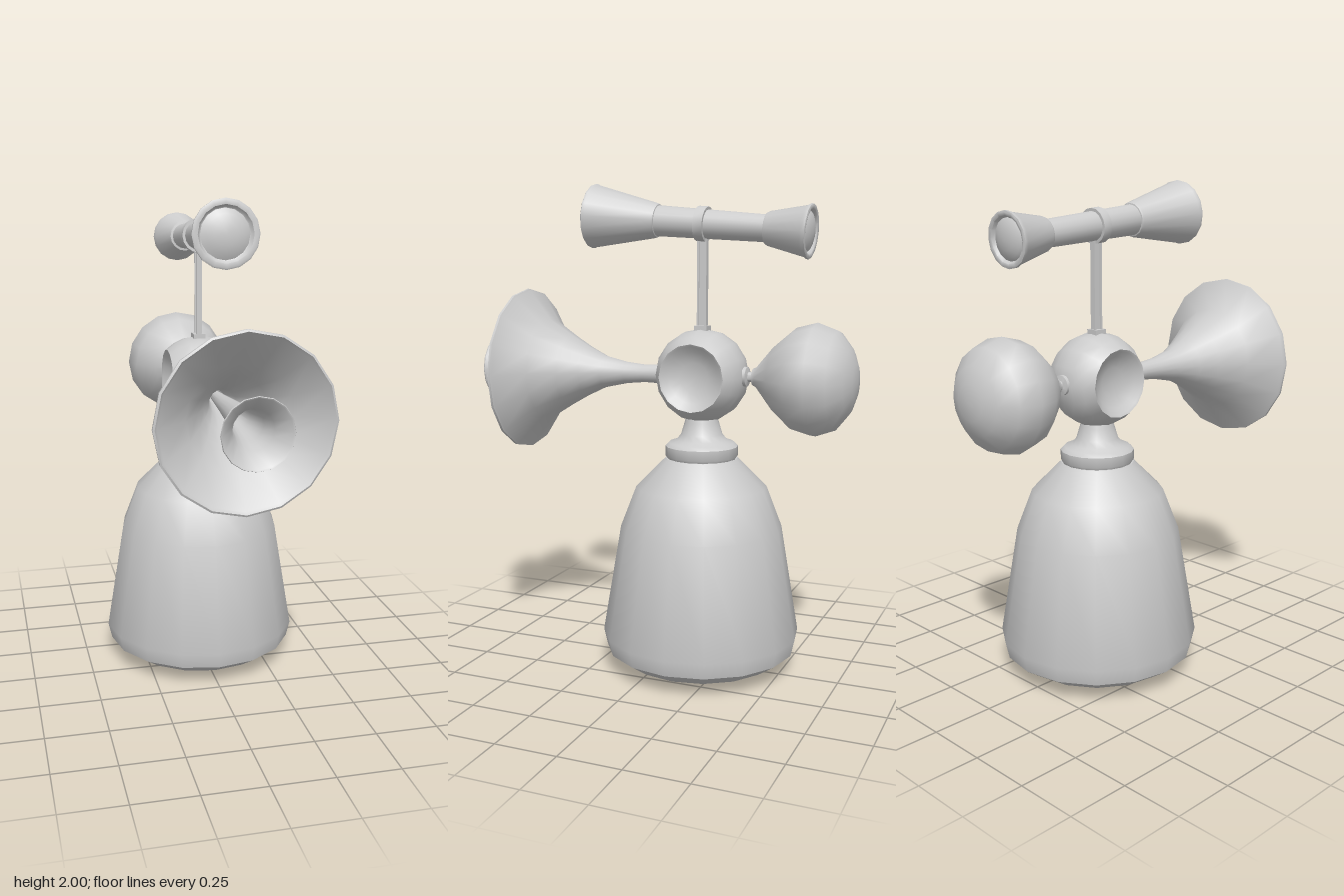
import * as THREE from 'three';
import { toCreasedNormals } from 'three/addons/utils/BufferGeometryUtils.js';

const AXIS_Z = -0.155; // vertical axis of stand and hub
const HUB_Y = 1.23;

const material = new THREE.MeshStandardMaterial({ color: 0xcccccc });
const openMaterial = new THREE.MeshStandardMaterial({ color: 0xcccccc, side: THREE.DoubleSide });

// Revolve [radius, position] pairs about y, then lay the axis along x or z if asked
function turned(name, profile, axis = 'y', mat = material, crease = 0.75) {
  const points = profile.map(([r, h]) => new THREE.Vector2(r, h));
  let geometry = new THREE.LatheGeometry(points, 16);
  if (axis === 'z') geometry.rotateX(Math.PI / 2);
  if (axis === 'x') geometry.rotateZ(-Math.PI / 2);
  geometry = toCreasedNormals(geometry, crease);
  const mesh = new THREE.Mesh(geometry, mat);
  mesh.name = name;
  return mesh;
}

function block(name, w, h, d, x, y, z) {
  const mesh = new THREE.Mesh(new THREE.BoxGeometry(w, h, d), material);
  mesh.name = name;
  mesh.position.set(x, y, z);
  return mesh;
}

export function createModel() {
  const model = new THREE.Group();
  model.name = 'hornStand';

  // Weighted bell-shaped base
  const base = turned('base', [
    [0, 0], [0.2, 0.005], [0.32, 0.035], [0.395, 0.085], [0.41, 0.15],
    [0.335, 0.6], [0.27, 0.77], [0.15, 0.89], [0, 0.89],
  ]);
  base.position.z = AXIS_Z;

  // Collar and flared neck
  const neck = turned('neck', [
    [0.14, 0.885], [0.15, 0.9], [0.15, 0.94], [0.135, 0.955],
    [0.105, 0.965], [0.085, 0.99], [0.07, 1.04], [0.06, 1.08],
  ]);
  neck.position.z = AXIS_Z;

  // Round hub with a shallow dish on each side
  const half = [[0, 0.085], [0.06, 0.09], [0.105, 0.108], [0.128, 0.128], [0.137, 0.133], [0.165, 0.095], [0.185, 0.05]];
  const hub = turned('hub', [
    ...half.map(([r, h]) => [r, -h]), [0.191, 0], ...half.slice().reverse(),
  ], 'x');
  hub.position.set(0, HUB_Y, AXIS_Z);

  // Large front horn: outer skin, rolled lip, inner skin
  const horn = turned('horn', [
    [0.04, -0.01], [0.037, 0.1], [0.045, 0.18], [0.067, 0.28], [0.105, 0.36],
    [0.15, 0.44], [0.215, 0.545], [0.335, 0.637], [0.343, 0.642], [0.343, 0.652],
    [0.335, 0.656], [0.325, 0.645], [0.205, 0.555], [0.14, 0.45], [0.095, 0.365],
    [0.055, 0.28], [0.03, 0.17],
  ], 'z', openMaterial);
  horn.position.y = HUB_Y - 0.002;

  // Narrow trumpet nested in the horn
  const trumpet = turned('innerTrumpet', [
    [0.022, 0.17], [0.035, 0.35], [0.05, 0.53], [0.068, 0.655], [0.085, 0.73],
    [0.135, 0.795], [0.133, 0.8], [0.127, 0.797], [0.077, 0.732], [0.06, 0.655],
    [0.042, 0.53], [0.025, 0.35], [0.01, 0.25], [0, 0.25],
  ], 'z', openMaterial);
  trumpet.position.y = HUB_Y;

  // Rear bulb on a short stem
  const bulb = turned('bulb', [
    [0, -0.797], [0.07, -0.79], [0.13, -0.767], [0.195, -0.715], [0.224, -0.635],
    [0.202, -0.55], [0.13, -0.465], [0.04, -0.388], [0.035, -0.375],
    [0.02, -0.37], [0.02, -0.355], [0.04, -0.35], [0.04, -0.32],
  ], 'z');
  bulb.position.y = HUB_Y + 0.003;

  // Thin ribbed post rising from the hub
  const post = new THREE.Group();
  post.name = 'post';
  post.add(block('web', 0.012, 0.4, 0.034, 0, 1.6, AXIS_Z));
  for (const s of [-1, 1]) {
    post.add(block('flange', 0.024, 0.4, 0.008, 0, 1.6, AXIS_Z + s * 0.016));
  }
  post.add(block('postFoot', 0.05, 0.03, 0.055, 0, 1.418, AXIS_Z));

  // Tilted spyglass, pivoting at the top of the post
  const spyglass = new THREE.Group();
  spyglass.name = 'spyglass';
  spyglass.add(
    turned('tube', [[0.053, -0.29], [0.062, 0.2]], 'z', openMaterial),
    turned('frontBell', [
      [0.055, 0.19], [0.067, 0.193], [0.07, 0.2], [0.127, 0.468], [0.131, 0.474],
      [0.131, 0.482], [0.125, 0.486], [0.108, 0.484], [0.1, 0.47],
      [0.096, 0.468], [0.075, 0.48], [0.045, 0.489], [0, 0.494],
    ], 'z'),
    turned('rearCup', [
      [0, -0.457], [0.04, -0.452], [0.068, -0.443], [0.08, -0.434], [0.088, -0.446],
      [0.1, -0.449], [0.106, -0.446], [0.106, -0.436], [0.099, -0.425],
      [0.067, -0.275], [0.063, -0.268], [0.05, -0.266],
    ], 'z'),
    turned('clampRing', [[0.055, -0.02], [0.07, -0.02], [0.07, 0.02], [0.055, 0.02]], 'z'),
  );
  spyglass.position.set(0, 1.838, AXIS_Z);
  spyglass.rotation.x = -0.075;

  model.add(base, neck, hub, horn, trumpet, bulb, post, spyglass);
  return model;
}
